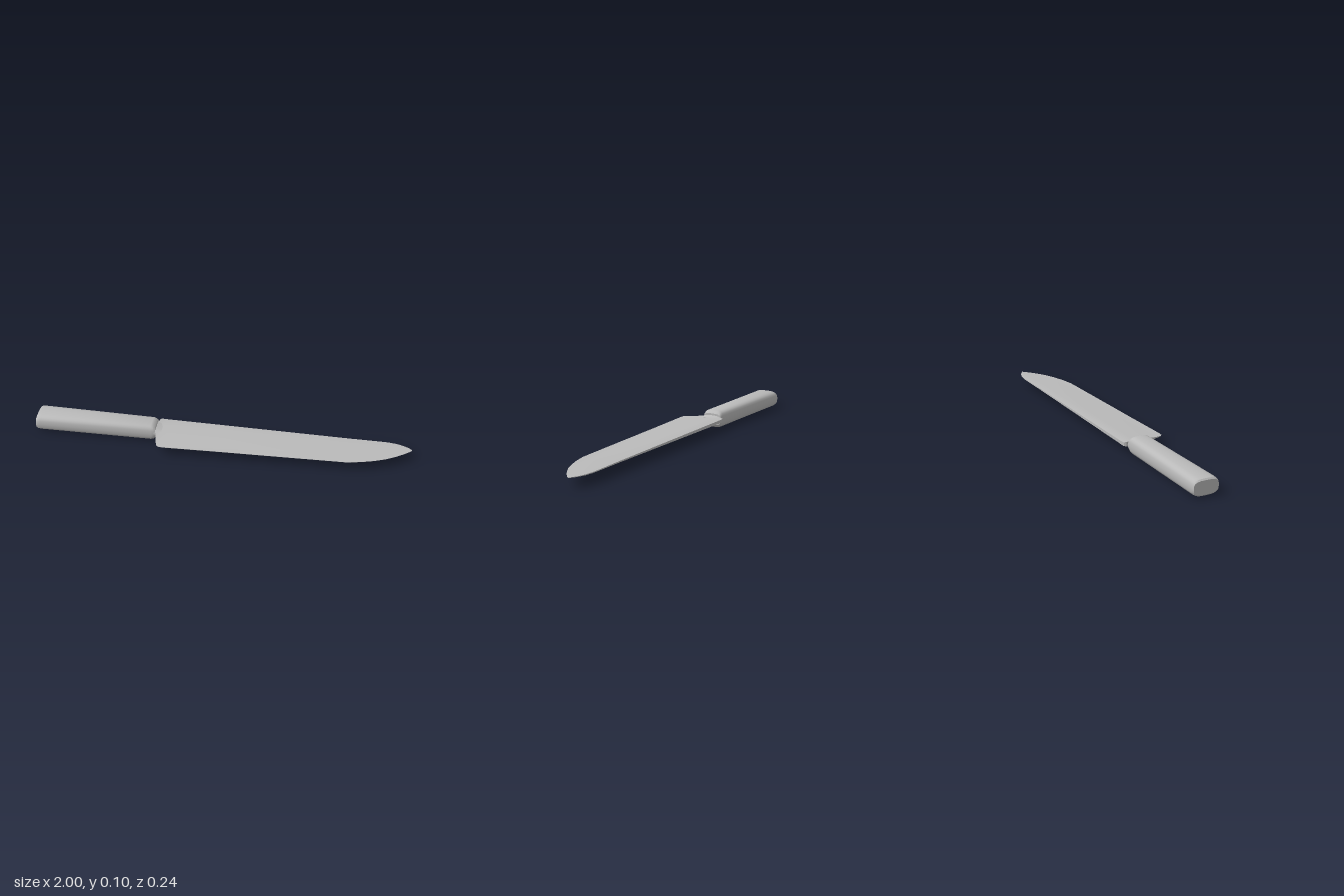
import * as THREE from 'three';
import { toCreasedNormals } from 'three/addons/utils/BufferGeometryUtils.js';

// Skin a list of equal-length rings (ordered from -x to +x) and cap both ends.
function loft(rings, crease) {
  const pos = [];
  const tri = (a, b, c) => pos.push(...a, ...b, ...c);
  const n = rings[0].length;
  for (let i = 0; i < rings.length - 1; i++) {
    for (let j = 0; j < n; j++) {
      const k = (j + 1) % n;
      const [a, b, c, d] = [rings[i][j], rings[i][k], rings[i + 1][j], rings[i + 1][k]];
      tri(a, b, c);
      tri(b, d, c);
    }
  }
  const middle = (r) => [0, 1, 2].map((q) => r.reduce((s, p) => s + p[q], 0) / n);
  const first = rings[0], last = rings[rings.length - 1];
  const m0 = middle(first), m1 = middle(last);
  for (let j = 0; j < n; j++) {
    const k = (j + 1) % n;
    tri(m0, first[k], first[j]);
    tri(m1, last[j], last[k]);
  }
  const g = new THREE.BufferGeometry();
  g.setAttribute('position', new THREE.Float32BufferAttribute(pos, 3));
  return toCreasedNormals(g, crease);
}

// Rounded-box ring: superellipse between z0 and z1 with half height h.
function ovalRing(x, z0, z1, h, y = 0.048, n = 24) {
  const soft = (v) => Math.sign(v) * Math.pow(Math.abs(v), 0.62);
  return Array.from({ length: n }, (_, j) => {
    const a = (j / n) * Math.PI * 2;
    return [x, y + h * soft(Math.cos(a)), (z0 + z1) / 2 + ((z1 - z0) / 2) * soft(Math.sin(a))];
  });
}

// Blade ring: lens section, thick towards the spine and thin at the cutting edge.
function bladeRing(x, spine, edge, fullEdge, half, n = 8) {
  const profile = (z) => {
    const t = (z - spine) / (fullEdge - spine);
    const belly = t < 0.12 ? 0.7 + 2.5 * t : 1 - Math.pow((t - 0.12) / 0.88, 1.3);
    return half * Math.max(belly, 0.08);
  };
  const top = [], bottom = [];
  for (let j = 0; j <= n; j++) {
    const z = spine + (edge - spine) * (j / n);
    top.push([x, 0.051 + profile(z), z]);
    bottom.unshift([x, 0.051 - profile(z), z]);
  }
  return [...top, ...bottom];
}

export function createModel() {
  const group = new THREE.Group();
  const steel = new THREE.MeshStandardMaterial({ color: 0xbababa });
  steel.name = 'brushed grey';
  const add = (name, geometry) => {
    const mesh = new THREE.Mesh(geometry, steel);
    mesh.name = name;
    group.add(mesh);
  };

  // Handle: x, back z, front z, half height
  add('handle', loft([
    [-1.0, -0.11, 0.025, 0.036],
    [-0.993, -0.111, 0.027, 0.043],
    [-0.975, -0.111, 0.027, 0.046],
    [-0.7, -0.107, 0.02, 0.047],
    [-0.375, -0.102, 0.012, 0.048],
    [-0.362, -0.101, 0.011, 0.043],
    [-0.352, -0.1, 0.008, 0.032],
  ].map((s) => ovalRing(...s)), 0.6));

  // Narrow neck joining handle and blade
  add('neck', loft([
    [-0.36, -0.1, 0.01, 0.022],
    [-0.345, -0.1, 0.01, 0.017],
    [-0.32, -0.1, 0.01, 0.012],
  ].map((s) => ovalRing(...s, 0.05)), 0.6));

  // Blade: x, spine z, front z, cutting edge z, half thickness
  add('blade', loft([
    [-0.348, -0.107, 0.01, 0.118, 0.016],
    [-0.34, -0.118, 0.045, 0.118, 0.0145],
    [-0.332, -0.12, 0.08, 0.118, 0.0135],
    [-0.325, -0.12, 0.104, 0.118, 0.013],
    [-0.312, -0.12, 0.115, 0.117, 0.0125],
    [-0.29, -0.12, 0.117, 0.117, 0.012],
    [0.0, -0.12, 0.105, 0.105, 0.01],
    [0.4, -0.12, 0.091, 0.091, 0.007],
    [0.67, -0.12, 0.081, 0.081, 0.005],
    [0.74, -0.121, 0.067, 0.067, 0.0045],
    [0.81, -0.122, 0.046, 0.046, 0.004],
    [0.87, -0.122, 0.021, 0.021, 0.0035],
    [0.92, -0.116, -0.008, -0.008, 0.003],
    [0.96, -0.103, -0.037, -0.037, 0.0025],
    [0.985, -0.09, -0.058, -0.058, 0.002],
    [1.0, -0.078, -0.072, -0.072, 0.0015],
  ].map((s) => bladeRing(...s)), 0.6));

  return group;
}
